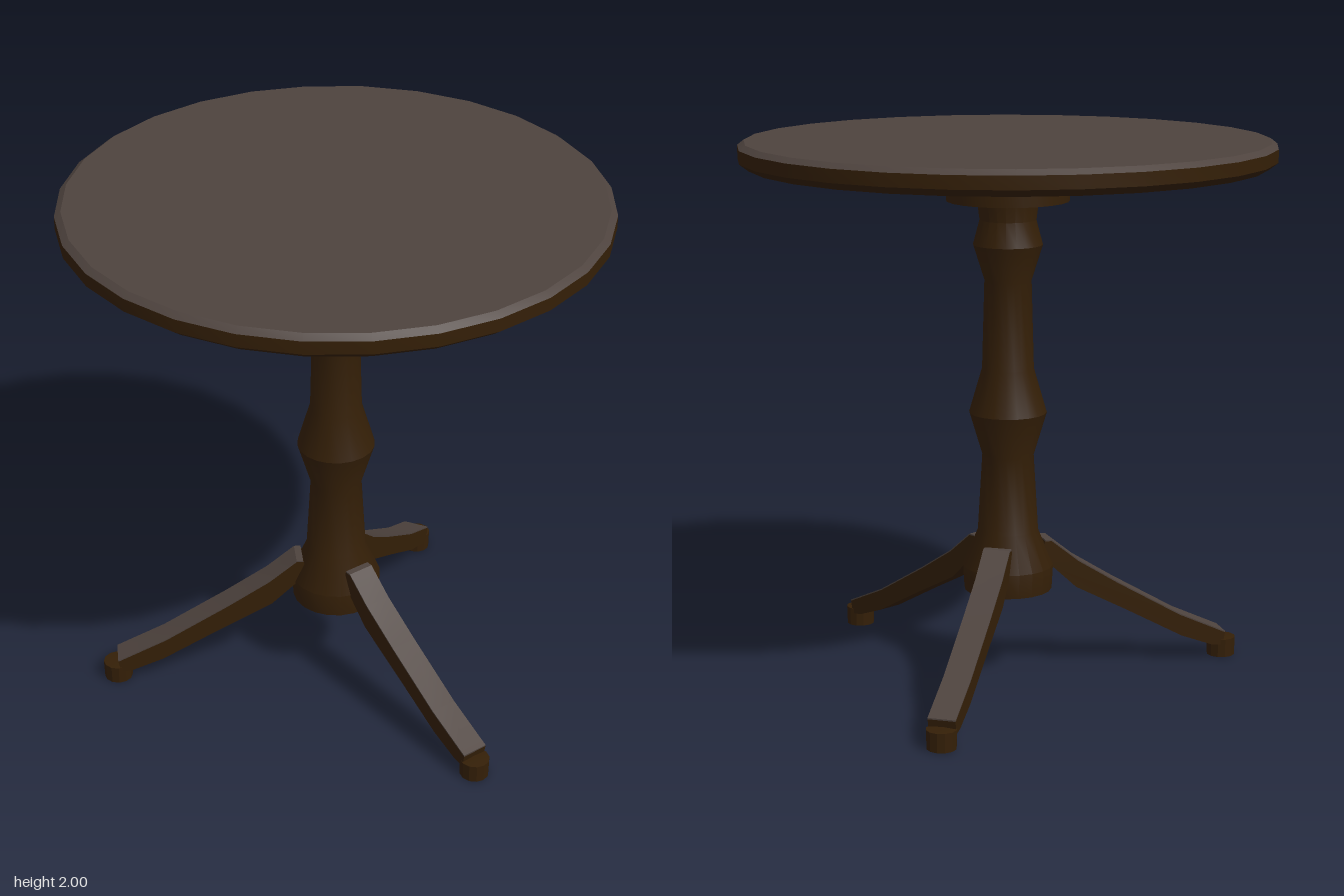
import * as THREE from 'three';
import { toCreasedNormals } from 'three/addons/utils/BufferGeometryUtils.js';

function makeMaterial(name, color) {
  const material = new THREE.MeshStandardMaterial({ color });
  material.name = name;
  return material;
}
const darkWood = makeMaterial('darkWood', 0x341f07);
const greyBrownWood = makeMaterial('greyBrownWood', 0x4e433e);

// Turned part from [radius, height] pairs, bottom to top
function turned(name, profile, sides, material = darkWood) {
  const points = profile.map(([r, y]) => new THREE.Vector2(r, y));
  const geometry = toCreasedNormals(new THREE.LatheGeometry(points, sides), 0.5);
  const mesh = new THREE.Mesh(geometry, material);
  mesh.name = name;
  return mesh;
}

// Side outline in x and y, extruded evenly about z = 0
function extruded(name, outline, width, material) {
  const shape = new THREE.Shape(outline.map(([x, y]) => new THREE.Vector2(x, y)));
  const geometry = new THREE.ExtrudeGeometry(shape, { depth: width, bevelEnabled: false });
  geometry.translate(0, 0, -width / 2);
  const mesh = new THREE.Mesh(toCreasedNormals(geometry, 0.35), material);
  mesh.name = name;
  return mesh;
}

// Curved leg reaching out along +x, with a thin upper face and a small round foot
function makeLeg() {
  const leg = new THREE.Group();
  const upper = [[0.13, 0.51], [0.155, 0.51], [0.26, 0.425], [0.42, 0.325], [0.66, 0.185], [0.845, 0.1]];
  const lower = [
    [0.835, 0.05], [0.79, 0.055], [0.67, 0.1], [0.45, 0.22], [0.25, 0.325], [0.16, 0.41], [0.1, 0.43],
  ];
  const raised = upper.map(([x, y]) => [x, y + 0.004]);
  const sunk = upper.map(([x, y]) => [x, y - 0.001]).reverse();

  const foot = turned('foot', [[0, 0], [0.053, 0], [0.055, 0.07], [0, 0.075]], 12);
  foot.position.x = 0.845;
  leg.add(
    extruded('legArm', [...upper, ...lower], 0.1, darkWood),
    extruded('legUpperFace', [...raised, ...sunk], 0.101, greyBrownWood),
    foot,
  );
  return leg;
}

export function createModel() {
  const table = new THREE.Group();
  table.name = 'pedestalTable';

  // Round top: dark underside and rim, lighter bevel and upper face
  table.add(turned('tableRim', [[0, 1.91], [0.935, 1.91], [0.968, 1.935], [0.968, 1.982]], 28));
  table.add(turned('tableSurface', [[0.968, 1.982], [0.945, 2], [0, 2]], 28, greyBrownWood));

  // Block under the top
  table.add(turned('mountingBlock', [[0, 1.78], [0.224, 1.78], [0.224, 1.911], [0, 1.911]], 24));

  // Turned column
  table.add(turned('column', [
    [0, 0.33], [0.163, 0.33], [0.168, 0.42], [0.112, 0.555], [0.095, 0.84], [0.143, 1.0],
    [0.095, 1.165], [0.086, 1.49], [0.127, 1.62], [0.103, 1.71], [0.114, 1.79],
  ], 20));

  // Three legs, one pointing to -x
  for (let i = 0; i < 3; i++) {
    const leg = makeLeg();
    leg.name = 'leg' + (i + 1);
    leg.rotation.y = Math.PI + (i * 2 * Math.PI) / 3;
    table.add(leg);
  }
  return table;
}
